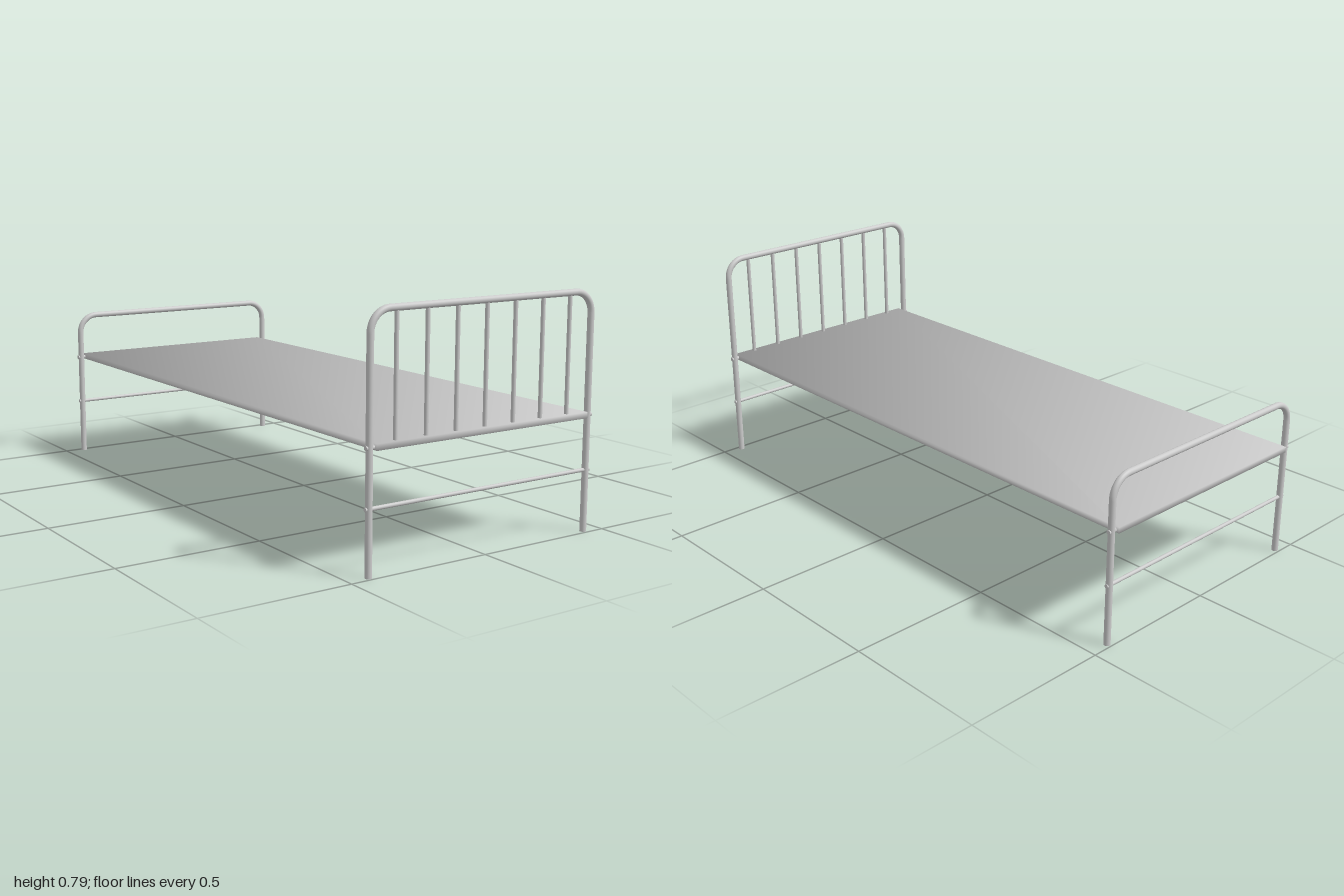
import * as THREE from 'three';

const material = new THREE.MeshStandardMaterial({ color: 0xcccccc });
const POST_X = 0.43, END_Z = 0.984, TUBE = 0.011, BEND = 0.068;

function add(parent, name, geometry, x, y, z) {
  const mesh = new THREE.Mesh(geometry, material);
  mesh.name = name;
  mesh.position.set(x, y, z);
  parent.add(mesh);
  return mesh;
}

const upright = (parent, name, r, x, y0, y1) =>
  add(parent, name, new THREE.CylinderGeometry(r, r, y1 - y0, 20), x, (y0 + y1) / 2, 0);

function crossBar(parent, name, r, halfLength, y) {
  const bar = add(parent, name, new THREE.CylinderGeometry(r, r, halfLength * 2, 20), 0, y, 0);
  bar.rotation.z = Math.PI / 2;
}

// Bent tube frame with two legs, rounded corners, a top rail and two cross bars
function endFrame(name, railY, z) {
  const frame = new THREE.Group();
  frame.name = name;
  frame.position.z = z;
  for (const side of [1, -1]) {
    upright(frame, 'leg', TUBE, side * POST_X, 0, railY - BEND);
    const bend = add(frame, 'cornerBend', new THREE.TorusGeometry(BEND, TUBE, 20, 16, Math.PI / 2),
      side * (POST_X - BEND), railY - BEND, 0);
    if (side < 0) bend.rotation.z = Math.PI / 2;
  }
  crossBar(frame, 'topRail', TUBE, POST_X - BEND, railY);
  crossBar(frame, 'deckBar', 0.0075, 0.444, 0.385);
  crossBar(frame, 'lowerBar', 0.0065, 0.444, 0.205);
  return frame;
}

export function createModel() {
  const bed = new THREE.Group();
  bed.name = 'bed';

  // Tall end with seven spindles
  const tall = endFrame('spindleEnd', 0.78, END_Z);
  for (let i = -3; i <= 3; i++) upright(tall, 'spindle', 0.007, i * 0.1125, 0.385, 0.775);
  bed.add(tall);

  // Low open end
  bed.add(endFrame('openEnd', 0.553, -END_Z));

  // Flat deck, softly shaded by corner normals
  const deck = new THREE.BoxGeometry(0.83, 0.02, 2);
  const p = deck.attributes.position, n = deck.attributes.normal;
  const corner = new THREE.Vector3();
  for (let i = 0; i < p.count; i++) {
    corner.set(Math.sign(p.getX(i)), Math.sign(p.getY(i)), Math.sign(p.getZ(i))).normalize();
    n.setXYZ(i, corner.x, corner.y, corner.z);
  }
  add(bed, 'deck', deck, 0, 0.387, 0);

  return bed;
}
